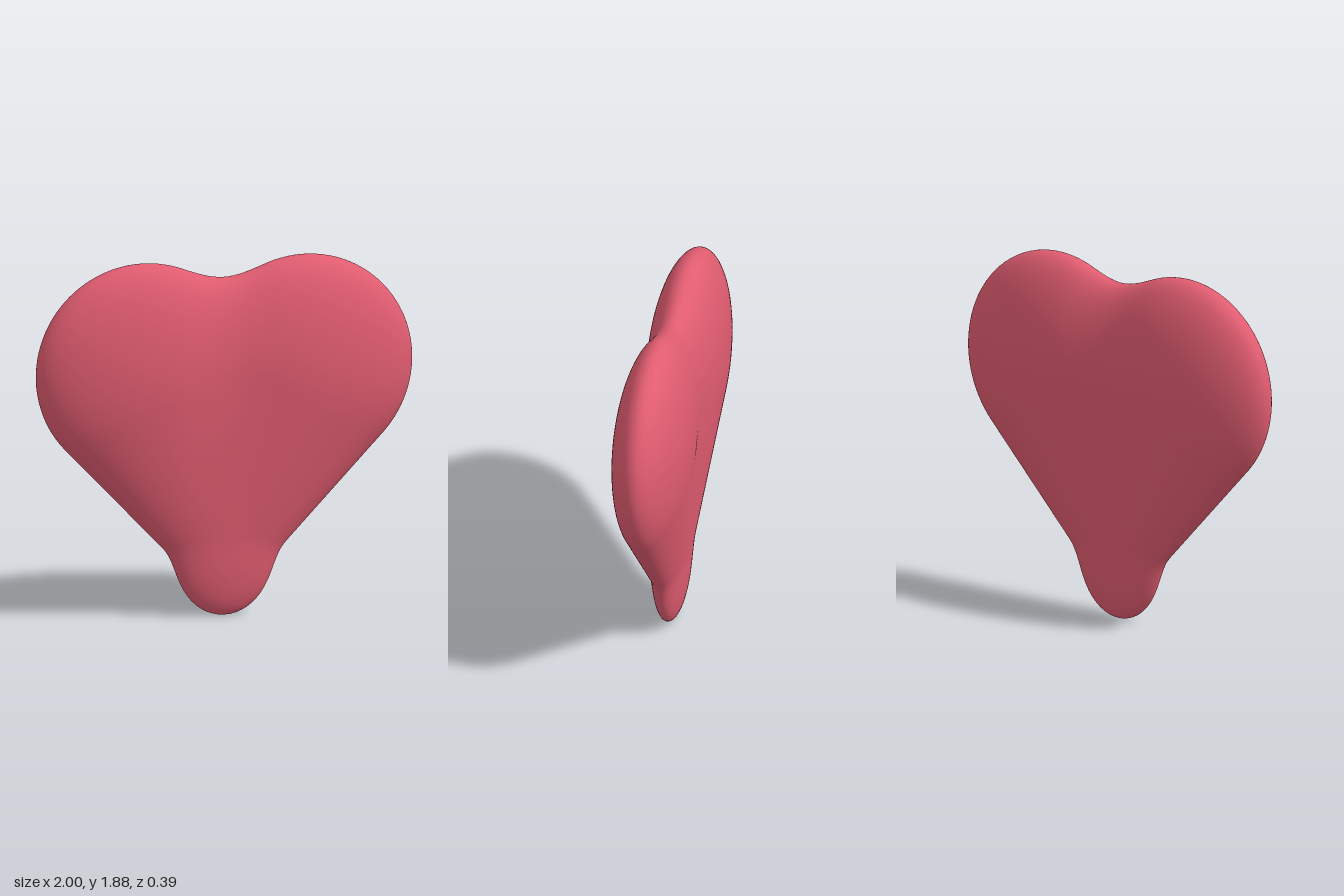
import * as THREE from 'three';

const FLATNESS = 0.342; // depth of the heart relative to its round form
const LOBE = { x: 0.43, y: 1.305, r: 0.57 };
const WAIST = { y: 0.4, r: 0.26 };
const TIP = { y: 0.192, r: 0.185 };
const CORE = new THREE.Vector3(0, 0.95, 0); // every surface point is visible from here

// Smooth union of two distances
function blend(a, b, k) {
  const h = Math.max(k - Math.abs(a - b), 0) / k;
  return Math.min(a, b) - h * h * k * 0.25;
}

// Distance to a tapered capsule running from one lobe down to the waist
function lobeDistance(x, y, z) {
  const dx = -LOBE.x, dy = WAIST.y - LOBE.y, len = Math.hypot(dx, dy);
  const px = x - LOBE.x, py = y - LOBE.y;
  const along = (px * dx + py * dy) / len;
  const across = Math.hypot((px * dy - py * dx) / len, z);
  const b = (LOBE.r - WAIST.r) / len, a = Math.sqrt(1 - b * b);
  const k = along * a - across * b;
  if (k < 0) return Math.hypot(across, along) - LOBE.r;
  if (k > a * len) return Math.hypot(across, along - len) - WAIST.r;
  return across * a + along * b - LOBE.r;
}

// Two mirrored lobes, softly merged, with a rounded tip below
function heartDistance(x, y, z) {
  const k = 0.06 + 0.22 * THREE.MathUtils.smoothstep(y, 0.4, 1.2);
  const lobes = blend(lobeDistance(x, y, z), lobeDistance(-x, y, z), k);
  return blend(lobes, Math.hypot(x, y - TIP.y, z) - TIP.r, 0.2);
}

function heartGeometry() {
  const geometry = new THREE.SphereGeometry(1, 192, 128).rotateX(Math.PI / 2);
  const pos = geometry.attributes.position, normal = geometry.attributes.normal;
  const dir = new THREE.Vector3(), p = new THREE.Vector3(), n = new THREE.Vector3();
  const e = 0.002;
  for (let i = 0; i < pos.count; i++) {
    // push each vertex outwards until it meets the surface
    dir.fromBufferAttribute(pos, i).normalize();
    let inside = 0, outside = 1.6;
    for (let step = 0; step < 26; step++) {
      const mid = (inside + outside) / 2;
      p.copy(CORE).addScaledVector(dir, mid);
      if (heartDistance(p.x, p.y, p.z) < 0) inside = mid;
      else outside = mid;
    }
    // normal from the slope of the distance, corrected for the flattening
    n.set(
      heartDistance(p.x + e, p.y, p.z) - heartDistance(p.x - e, p.y, p.z),
      heartDistance(p.x, p.y + e, p.z) - heartDistance(p.x, p.y - e, p.z),
      (heartDistance(p.x, p.y, p.z + e) - heartDistance(p.x, p.y, p.z - e)) / FLATNESS
    ).normalize();
    pos.setXYZ(i, p.x, p.y, p.z * FLATNESS);
    normal.setXYZ(i, n.x, n.y, n.z);
  }
  return geometry;
}

export function createModel() {
  const group = new THREE.Group();
  const heart = new THREE.Mesh(heartGeometry(), new THREE.MeshStandardMaterial({ color: 0xe05c70 }));
  heart.name = 'heart';
  group.add(heart);
  return group;
}
